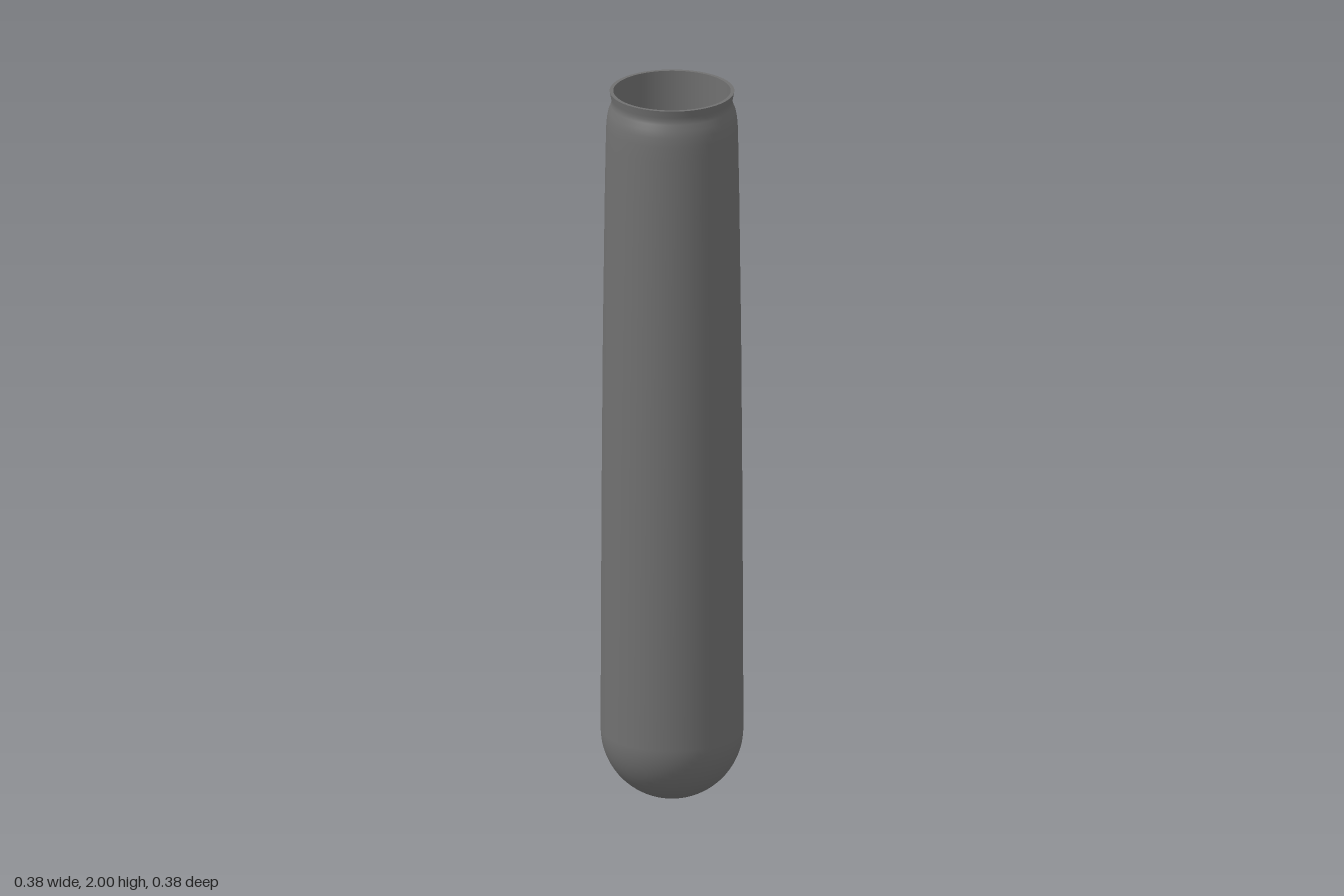
import * as THREE from 'three';

const BASE_R = 0.191;
const BORE_R = 0.154;
const MOUTH_R = 0.157;
const LIP_R = 0.167;
const SEGMENTS = 64;

const toPoints = (pairs) => pairs.map(([r, y]) => new THREE.Vector2(r, y));

// Rounded bottom: a quarter circle from the axis out to the wall.
function bowl(radius) {
  return Array.from({ length: 17 }, (_, i) => {
    const a = (i / 16) * Math.PI / 2;
    return new THREE.Vector2(radius * Math.sin(a), BASE_R - radius * Math.cos(a));
  });
}

export function createModel() {
  const group = new THREE.Group();
  group.name = 'testTube';
  const material = new THREE.MeshStandardMaterial({ color: 0x707070, side: THREE.DoubleSide });

  function addLathe(name, profile) {
    const mesh = new THREE.Mesh(new THREE.LatheGeometry(profile, SEGMENTS), material);
    mesh.name = name;
    group.add(mesh);
  }

  // Outer wall: rounded bottom, tapering side, rounded shoulder, narrow neck and flared lip.
  addLathe('outerWall', [...bowl(BASE_R), ...toPoints([
    [0.19, 0.5], [0.188, 0.9], [0.185, 1.3], [0.18, 1.7], [0.177, 1.86], [0.176, 1.9],
    [0.174, 1.925], [0.17, 1.945], [0.164, 1.96], [0.162, 1.97], [0.163, 1.98], [LIP_R, 2],
  ])]);

  // Nearly straight bore, run downward so that it faces the axis.
  addLathe('innerWall', [...bowl(BORE_R), new THREE.Vector2(MOUTH_R, 2)].reverse());

  // Flat rim closing the gap between the two walls.
  addLathe('rim', toPoints([[LIP_R, 2], [MOUTH_R, 2]]));

  return group;
}
